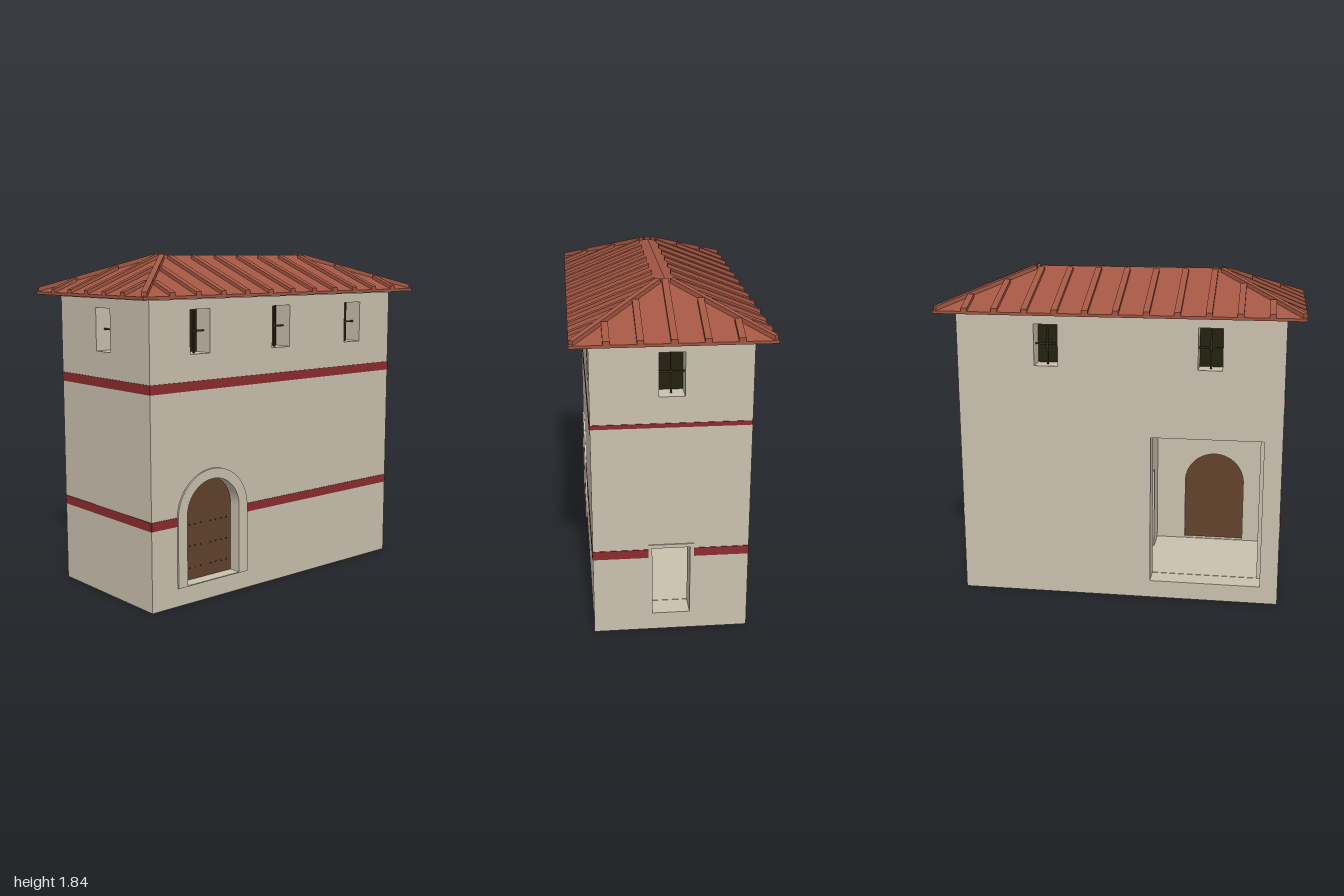
import * as THREE from 'three';

const mat = (name, color) => Object.assign(new THREE.MeshStandardMaterial({ color }), { name });

export function createModel() {
  const plaster = mat('plaster', 0xcac1ae);
  const red = mat('red band', 0x8c2b2f);
  const tile = mat('roof tile', 0xa25642);
  const wood = mat('door wood', 0x61432c);
  const dark = mat('dark glass', 0x22210f);
  const iron = mat('window bars', 0x3a2a1a);

  const model = new THREE.Group();
  model.name = 'house';
  const T = 0.12, H = 1.62, HX = 0.41, HZ = 0.9;

  function add(parent, name, geo, material, x = 0, y = 0, z = 0) {
    const m = new THREE.Mesh(geo, material);
    m.name = name;
    m.position.set(x, y, z);
    parent.add(m);
    return m;
  }
  const box = (parent, name, material, w, h, d, x, y, z) =>
    add(parent, name, new THREE.BoxGeometry(w, h, d), material, x, y, z);
  const extrude = (shape, depth) =>
    new THREE.ExtrudeGeometry(shape, { depth, bevelEnabled: false, curveSegments: 24 });

  // Outline helpers: rectangle and round-topped arch
  const rect = (u0, u1, y0, y1) => new THREE.Shape([[u0, y0], [u1, y0], [u1, y1], [u0, y1]]
    .map(([a, b]) => new THREE.Vector2(a, b)));
  function arch(u, r, y0, spring) {
    const s = new THREE.Shape();
    s.moveTo(u - r, y0);
    s.lineTo(u + r, y0);
    s.lineTo(u + r, spring);
    s.absarc(u, spring, r, 0, Math.PI, false);
    s.lineTo(u - r, y0);
    return s;
  }

  // One wall in its own frame: u to the right, outside towards local +z
  function wall(name, angle, face, half, windows, openings) {
    const g = new THREE.Group();
    g.name = name;
    g.rotation.y = angle;
    model.add(g);
    const shape = rect(-half, half, 0, H);
    shape.holes.push(...openings, ...windows.map(u => rect(u - 0.066, u + 0.066, 1.33, 1.56)));
    add(g, 'wallPanel', extrude(shape, T), plaster, 0, 0, face - T);
    for (const u of windows) {
      box(g, 'windowPane', dark, 0.14, 0.24, 0.009, u, 1.445, face - T + 0.004);
      box(g, 'windowBarUpright', iron, 0.009, 0.23, 0.009, u, 1.445, face - 0.055);
      box(g, 'windowBarCross', iron, 0.132, 0.009, 0.009, u, 1.445, face - 0.055);
    }
    return g;
  }
  const band = (g, face, u0, u1, y0, y1) =>
    box(g, 'band', red, u1 - u0, y1 - y0, 0.004, (u0 + u1) / 2, (y0 + y1) / 2, face + 0.001);

  // Front wall
  const front = wall('frontWall', 0, HZ, HX - T, [0], []);
  band(front, HZ, -HX, HX, 1.14, 1.19);
  band(front, HZ, -HX, HX, 0.435, 0.483);

  // Back wall with a small framed doorway
  const back = wall('backWall', Math.PI, HZ, HX - T, [0], [rect(-0.1, 0.1, 0.1, 0.49)]);
  band(back, HZ, -HX, HX, 1.167, 1.19);
  band(back, HZ, -HX, -0.12, 0.435, 0.483);
  band(back, HZ, 0.12, HX, 0.435, 0.483);
  const backFrame = rect(-0.12, 0.12, 0.1, 0.51);
  backFrame.holes.push(rect(-0.1, 0.1, 0.101, 0.49));
  add(back, 'backDoorFrame', extrude(backFrame, 0.006), plaster, 0, 0, HZ);

  // Side wall with the arched main door
  const D = -0.495;
  const side = wall('doorWall', Math.PI / 2, HX, HZ, [-0.575, 0, 0.575], [arch(D, 0.18, 0.105, 0.48)]);
  band(side, HX, -HZ, HZ, 1.14, 1.19);
  band(side, HX, -HZ, D - 0.24, 0.435, 0.483);
  band(side, HX, D + 0.24, HZ, 0.435, 0.483);
  const surround = arch(D, 0.24, 0.1, 0.475);
  surround.holes.push(arch(D, 0.18, 0.105, 0.48));
  add(side, 'doorSurround', extrude(surround, 0.01), plaster, 0, 0, HX);
  add(side, 'door', extrude(arch(D, 0.18, 0.105, 0.48), 0.03), wood, 0, 0, 0.318);
  for (const y of [0.17, 0.29, 0.41])
    for (const u of [0.035, 0.072, 0.109, 0.146])
      for (const s of [-1, 1])
        box(side, 'doorNail', iron, 0.007, 0.007, 0.006, D + s * u, y, 0.349);

  // Other side wall with a large open bay
  wall('bayWall', -Math.PI / 2, HX, HZ, [-0.4, 0.5], [rect(0.18, 0.8, 0.1, 0.945)]);

  // Interior floor, ceiling and partition with a passage
  const inW = 2 * (HX - T), inL = 2 * (HZ - T);
  box(model, 'floor', plaster, inW, 0.012, inL, 0, 0.096, 0);
  box(model, 'ceiling', plaster, inW, 0.02, inL, 0, 1.01, 0);
  const partition = rect(-0.29, 0.29, 0.1, 1);
  partition.holes.push(rect(-0.16, 0.12, 0.101, 0.6));
  add(model, 'partition', extrude(partition, 0.1), plaster, 0, 0, 0.04);

  // Hipped roof on a thin eave slab
  const EX = 0.505, EZ = 1, EY = 1.635, RY = 1.835, RZ = 0.5;
  const roof = new THREE.Group();
  roof.name = 'roof';
  model.add(roof);
  box(roof, 'eaveSlab', tile, 2 * EX, EY - H, 2 * EZ, 0, (EY + H) / 2, 0);
  box(roof, 'soffit', plaster, 0.91, 0.008, 1.89, 0, H - 0.003, 0);
  const a = [-EX, EY, EZ], b = [EX, EY, EZ], c = [EX, EY, -EZ], d = [-EX, EY, -EZ];
  const p = [0, RY, RZ], q = [0, RY, -RZ];
  const hip = new THREE.BufferGeometry();
  hip.setAttribute('position', new THREE.Float32BufferAttribute(
    [a, b, p, c, d, q, b, c, q, b, q, p, d, a, p, d, p, q].flat(), 3));
  hip.computeVertexNormals();
  add(roof, 'roofSlopes', hip, tile);

  // Raised rib along the roof surface between two plan points
  const roofY = (x, z) => EY + (RY - EY) * Math.min((EX - Math.abs(x)) / EX, (EZ - Math.abs(z)) / (EZ - RZ), 1);
  function rib(name, x0, z0, x1, z1, w = 0.034) {
    const dx = x1 - x0, dz = z1 - z0, L = Math.hypot(dx, dz);
    const y0 = roofY(x0, z0), y1 = roofY(x1, z1);
    const g = new THREE.BoxGeometry(w, 0.03, L);
    const pos = g.attributes.position;
    for (let i = 0; i < pos.count; i++)
      pos.setY(i, pos.getY(i) + (y1 - y0) * pos.getZ(i) / L);
    g.computeVertexNormals();
    g.rotateY(Math.atan2(dx, dz));
    add(roof, name, g, tile, (x0 + x1) / 2, (y0 + y1) / 2 + 0.004, (z0 + z1) / 2);
  }
  for (const s of [-1, 1]) {
    for (let i = -5; i <= 5; i++) {
      const z = i * 0.1645;
      const inner = Math.max(0.05, EX * (Math.abs(z) - RZ) / (EZ - RZ) + 0.035);
      rib('sideRib', s * EX, z, s * inner, z);
    }
    for (let i = -2; i <= 2; i++) {
      const x = i * 0.163;
      rib('endRib', x, s * EZ, x, s * (RZ + (EZ - RZ) * Math.abs(x) / EX + 0.035));
    }
    for (const t of [-1, 1])
      rib('hipRib', t * (EX - 0.012), s * (EZ - 0.012), t * 0.035, s * 0.535, 0.03);
  }
  return model;
}
